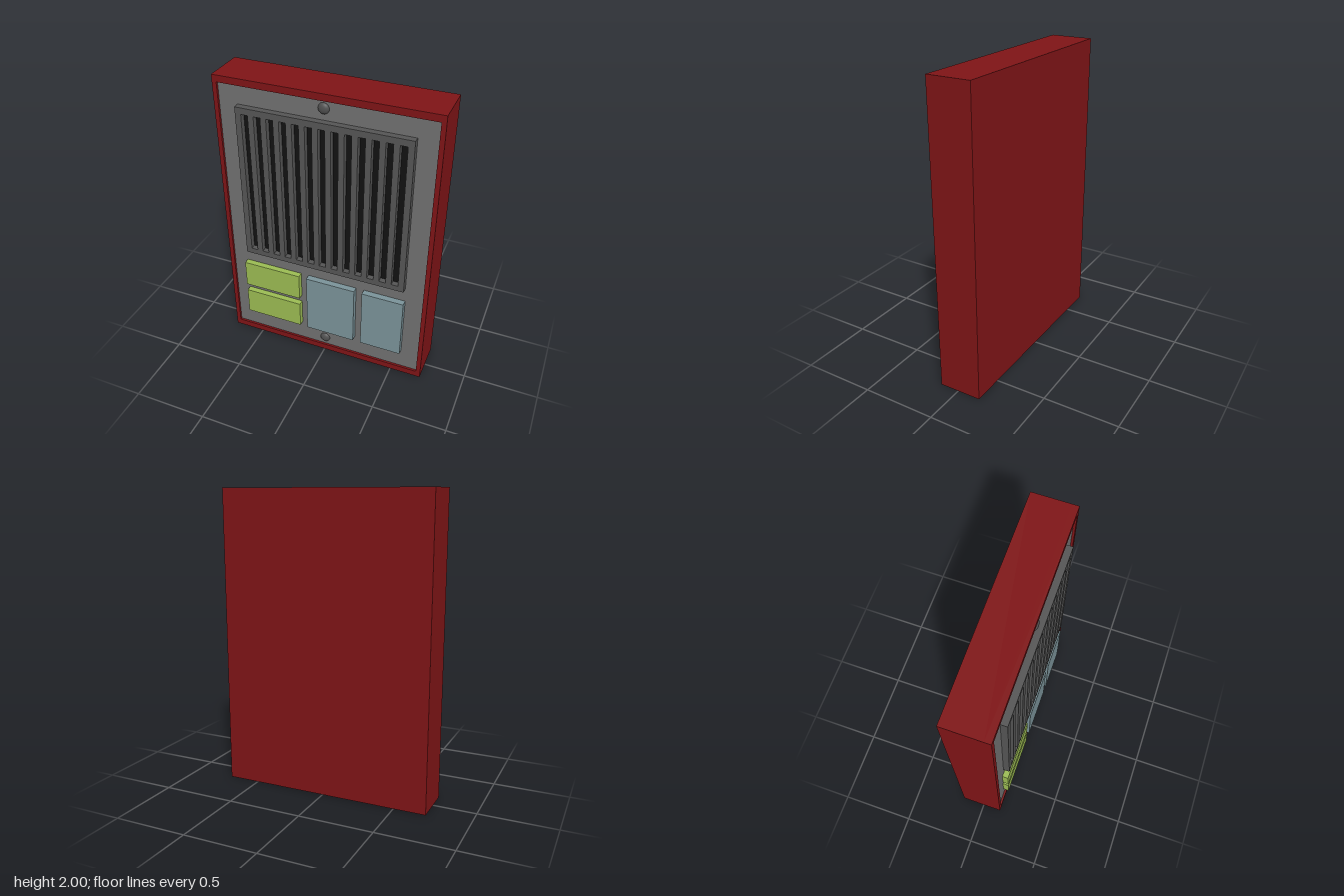
import * as THREE from 'three';

const material = (color) => new THREE.MeshStandardMaterial({ color });

// Rectangle outline, usable as a shape or a hole
function rect(x0, x1, y0, y1, Type = THREE.Shape) {
  const r = new Type();
  r.moveTo(x0, y0);
  r.lineTo(x1, y0);
  r.lineTo(x1, y1);
  r.lineTo(x0, y1);
  r.closePath();
  return r;
}

export function createModel() {
  const group = new THREE.Group();
  const red = material(0x7e1416);
  const panelGrey = material(0x707070);
  const grilleGrey = material(0x555555);
  const black = material(0x111111);
  const green = material(0x9aba52);
  const blue = material(0x7a9298);
  const screwGrey = material(0x505050);

  const add = (name, geometry, mat) => {
    const mesh = new THREE.Mesh(geometry, mat);
    mesh.name = name;
    group.add(mesh);
    return mesh;
  };
  const block = (name, x0, x1, y0, y1, z0, z1, mat) =>
    add(name, new THREE.BoxGeometry(x1 - x0, y1 - y0, z1 - z0), mat)
      .position.set((x0 + x1) / 2, (y0 + y1) / 2, (z0 + z1) / 2);
  const plate = (name, outline, z0, z1, mat) =>
    add(name, new THREE.ExtrudeGeometry(outline, { depth: z1 - z0, bevelEnabled: false }), mat)
      .position.z = z0;

  // Case: solid back with a thin raised rim around the front
  block('caseBack', -0.715, 0.715, 0, 2, -0.157, 0.09, red);
  const rim = rect(-0.715, 0.715, 0, 2);
  rim.holes.push(rect(-0.685, 0.685, 0.045, 1.955, THREE.Path));
  plate('caseRim', rim, 0.09, 0.13, red);

  // Slightly recessed front panel
  block('frontPanel', -0.685, 0.685, 0.045, 1.955, 0.09, 0.115, panelGrey);

  // Speaker grille with vertical slots over a dark backing
  const grille = rect(-0.56, 0.56, 0.745, 1.83);
  for (let i = -6; i <= 6; i++) {
    const x = i * 0.083;
    grille.holes.push(rect(x - 0.0225, x + 0.0225, 0.785, 1.787, THREE.Path));
  }
  plate('grille', grille, 0.115, 0.157, grilleGrey);
  block('grilleBacking', -0.53, 0.53, 0.77, 1.8, 0.11, 0.12, black);

  // Raised buttons
  block('upperGreenButton', -0.585, -0.175, 0.445, 0.64, 0.11, 0.155, green);
  block('lowerGreenButton', -0.585, -0.175, 0.195, 0.39, 0.11, 0.155, green);
  block('wideBlueButton', -0.12, 0.225, 0.195, 0.64, 0.11, 0.157, blue);
  block('narrowBlueButton', 0.28, 0.565, 0.195, 0.64, 0.11, 0.157, blue);

  // Domed screws at top and bottom
  for (const [name, y] of [['topScrew', 1.905], ['bottomScrew', 0.105]]) {
    const screw = add(name, new THREE.SphereGeometry(0.036, 20, 12), screwGrey);
    screw.scale.z = 0.6;
    screw.position.set(0, y, 0.114);
  }

  return group;
}
